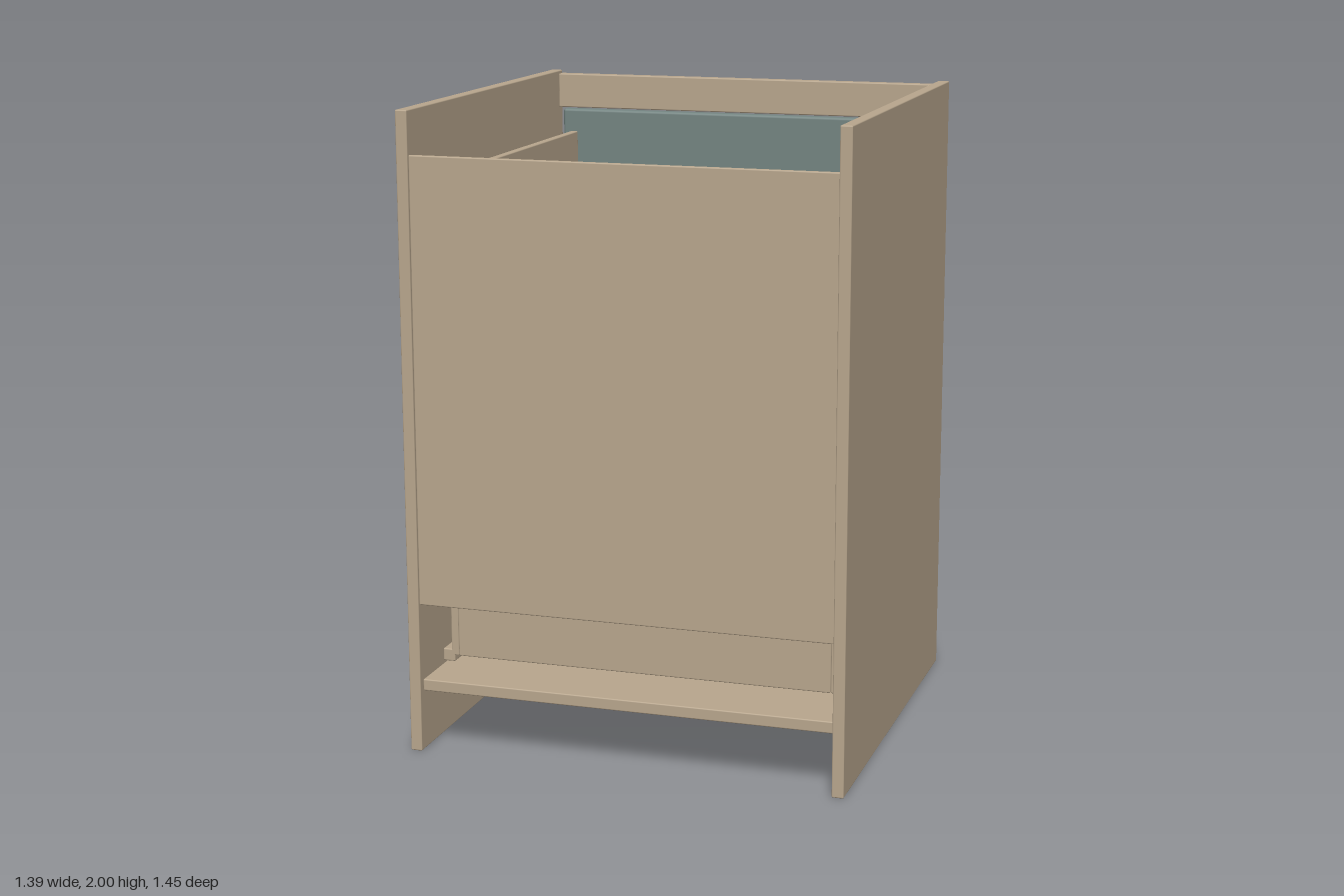
import * as THREE from 'three';
import { RoundedBoxGeometry } from 'three/addons/geometries/RoundedBoxGeometry.js';

const wood = new THREE.MeshStandardMaterial({ color: 0xb8a68d });
const teal = new THREE.MeshStandardMaterial({ color: 0x738481 });
const dark = new THREE.MeshStandardMaterial({ color: 0x2a2a2a });
const metal = new THREE.MeshStandardMaterial({ color: 0x858b8a });

// Softly edged board given by its min and max on each axis
function board(name, [x0, x1], [y0, y1], [z0, z1], material, radius = 0.004) {
  const geometry = new RoundedBoxGeometry(x1 - x0, y1 - y0, z1 - z0, 2, radius);
  const mesh = new THREE.Mesh(geometry, material);
  mesh.position.set((x0 + x1) / 2, (y0 + y1) / 2, (z0 + z1) / 2);
  mesh.name = name;
  return mesh;
}

// Span on the +x or -x side
const side = (s, a, b) => (s > 0 ? [a, b] : [-b, -a]);

function createHandle(y) {
  const handle = new THREE.Group();
  handle.name = 'handle';
  const h = [y - 0.008, y + 0.008];
  handle.add(board('handleBar', [-0.122, 0.122], h, [-0.725, -0.709], metal));
  for (const s of [-1, 1]) {
    handle.add(board('handlePost', side(s, 0.106, 0.122), h, [-0.715, -0.658], metal));
  }
  return handle;
}

function createDrawer({ bottom, top, boxBottom, boxTop, handleY }) {
  const drawer = new THREE.Group();
  drawer.name = 'drawer';
  drawer.add(board('drawerFront', [-0.658, 0.658], [bottom, top], [-0.662, -0.625], teal, 0.009));
  drawer.add(createHandle(handleY));

  // Open box behind the front
  drawer.add(board('drawerBottom', [-0.61, 0.61], [boxBottom, boxBottom + 0.018], [-0.625, 0.525], wood));
  drawer.add(board('drawerBack', [-0.605, 0.605], [boxBottom, boxTop], [0.51, 0.535], wood));
  for (const s of [-1, 1]) {
    drawer.add(board('drawerSide', side(s, 0.605, 0.63), [boxBottom, boxTop], [-0.625, 0.535], wood));
    drawer.add(board('drawerRunner', side(s, 0.618, 0.658), [boxBottom - 0.02, boxBottom + 0.02], [-0.6, 0.535], wood));
  }
  return drawer;
}

export function createModel() {
  const cabinet = new THREE.Group();
  cabinet.name = 'drawerCabinet';

  // Carcass
  for (const s of [-1, 1]) {
    cabinet.add(board(s > 0 ? 'leftPanel' : 'rightPanel', side(s, 0.658, 0.695), [0, 2], [-0.62, 0.722], wood));
  }
  cabinet.add(board('bottomPanel', [-0.658, 0.658], [0.192, 0.229], [-0.62, 0.7], wood));
  cabinet.add(board('rearPanel', [-0.658, 0.658], [0.475, 1.866], [0.7, 0.716], wood));
  cabinet.add(board('topRail', [-0.658, 0.658], [1.876, 1.99], [-0.62, -0.583], wood));
  cabinet.add(board('plinth', [-0.658, 0.658], [0.003, 0.192], [-0.51, -0.473], dark));

  // Drawers
  const drawers = [
    { bottom: 0.255, top: 0.705, boxBottom: 0.258, boxTop: 0.63, handleY: 0.575 },
    { bottom: 0.72, top: 1.285, boxBottom: 0.74, boxTop: 1.21, handleY: 1.155 },
    { bottom: 1.3, top: 1.866, boxBottom: 1.32, boxTop: 1.79, handleY: 1.735 },
  ];
  for (const d of drawers) cabinet.add(createDrawer(d));
  return cabinet;
}
